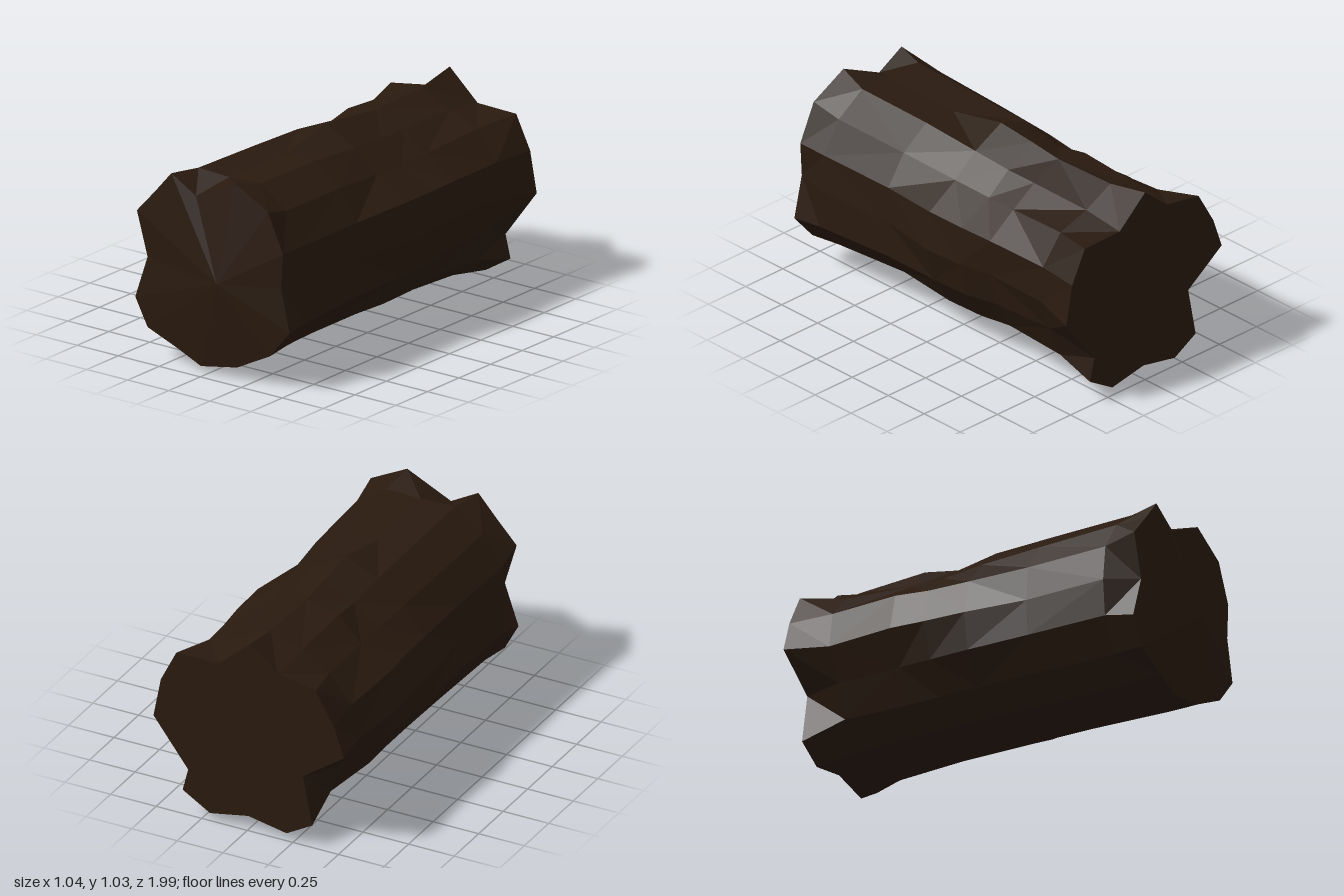
import * as THREE from 'three';

// Outlines of the two cut ends (x, y), counter-clockwise from +x
const FRONT = [
  [0.44, 0.53], [0.45, 0.71], [0.36, 0.905], [0.16, 1.01], [-0.08, 0.895], [-0.23, 0.98], [-0.33, 0.865], [-0.44, 0.745],
  [-0.375, 0.52], [-0.45, 0.3], [-0.375, 0.16], [-0.19, 0.09], [-0.05, 0.03], [0.17, 0.07], [0.37, 0.17], [0.49, 0.31],
];
const BACK = [
  [0.52, 0.5], [0.48, 0.71], [0.395, 0.88], [0.16, 0.885], [-0.01, 1.035], [-0.16, 0.91], [-0.37, 0.875], [-0.47, 0.7],
  [-0.525, 0.54], [-0.3, 0.38], [-0.35, 0.12], [-0.21, 0.04], [0, 0.08], [0.21, 0.04], [0.36, 0.13], [0.33, 0.25],
];
// Sections between them: z, then radii in thousandths at equal angles
const SECTIONS = [
  [0.77, [470, 480, 490, 490, 445, 490, 480, 480, 465, 485, 500, 480, 515, 480, 490, 515]],
  [0.33, [450, 475, 475, 480, 435, 480, 465, 470, 450, 475, 490, 480, 480, 470, 465, 490]],
  [0.0, [505, 520, 435, 450, 505, 470, 450, 475, 485, 490, 485, 475, 460, 470, 490, 490]],
  [-0.22, [490, 515, 415, 430, 485, 435, 430, 480, 495, 475, 485, 470, 455, 470, 485, 485]],
  [-0.4, [455, 500, 430, 430, 465, 465, 430, 500, 510, 460, 490, 470, 450, 470, 465, 455]],
  [-0.76, [465, 490, 475, 425, 475, 445, 450, 485, 480, 430, 465, 480, 450, 485, 480, 440]],
];
const SIDES = 16;
const CENTRE_Y = 0.52;

function endRing(outline, z) {
  return outline.map(([x, y]) => new THREE.Vector3(x, y, z));
}

function sectionRing([z, radii]) {
  return radii.map((r, j) => {
    const a = (j / SIDES) * Math.PI * 2;
    return new THREE.Vector3((r / 1000) * Math.cos(a), CENTRE_Y + (r / 1000) * Math.sin(a), z);
  });
}

function makeMesh(name, triangles, material) {
  const geometry = new THREE.BufferGeometry().setFromPoints(triangles.flat());
  geometry.computeVertexNormals();
  const mesh = new THREE.Mesh(geometry, material);
  mesh.name = name;
  return mesh;
}

export function createModel() {
  const group = new THREE.Group();
  group.name = 'log';
  const wood = new THREE.MeshStandardMaterial({ color: 0x291a0f, flatShading: true });
  const front = endRing(FRONT, 0.93);
  const back = endRing(BACK, -0.99);
  const rings = [front, ...SECTIONS.map(sectionRing), back];

  // Bark: faceted skin between neighbouring rings, each quad split along its shorter diagonal
  const skin = [];
  for (let i = 0; i < rings.length - 1; i++) {
    for (let j = 0; j < SIDES; j++) {
      const k = (j + 1) % SIDES;
      const a = rings[i][j], b = rings[i][k];
      const c = rings[i + 1][j], d = rings[i + 1][k];
      if (b.distanceTo(c) < a.distanceTo(d)) skin.push([a, c, b], [b, c, d]);
      else skin.push([a, c, d], [a, d, b]);
    }
  }
  group.add(makeMesh('bark', skin, wood));

  // Cut ends: a shallow off-centre point in front, a flat face behind
  const frontTip = new THREE.Vector3(0.1, 0.5, 1.0);
  const backCentre = new THREE.Vector3(0, CENTRE_Y, -0.99);
  const frontCut = front.map((p, j) => [frontTip, p, front[(j + 1) % SIDES]]);
  const backCut = back.map((p, j) => [backCentre, back[(j + 1) % SIDES], p]);
  group.add(makeMesh('frontCut', frontCut, wood), makeMesh('backCut', backCut, wood));

  return group;
}
